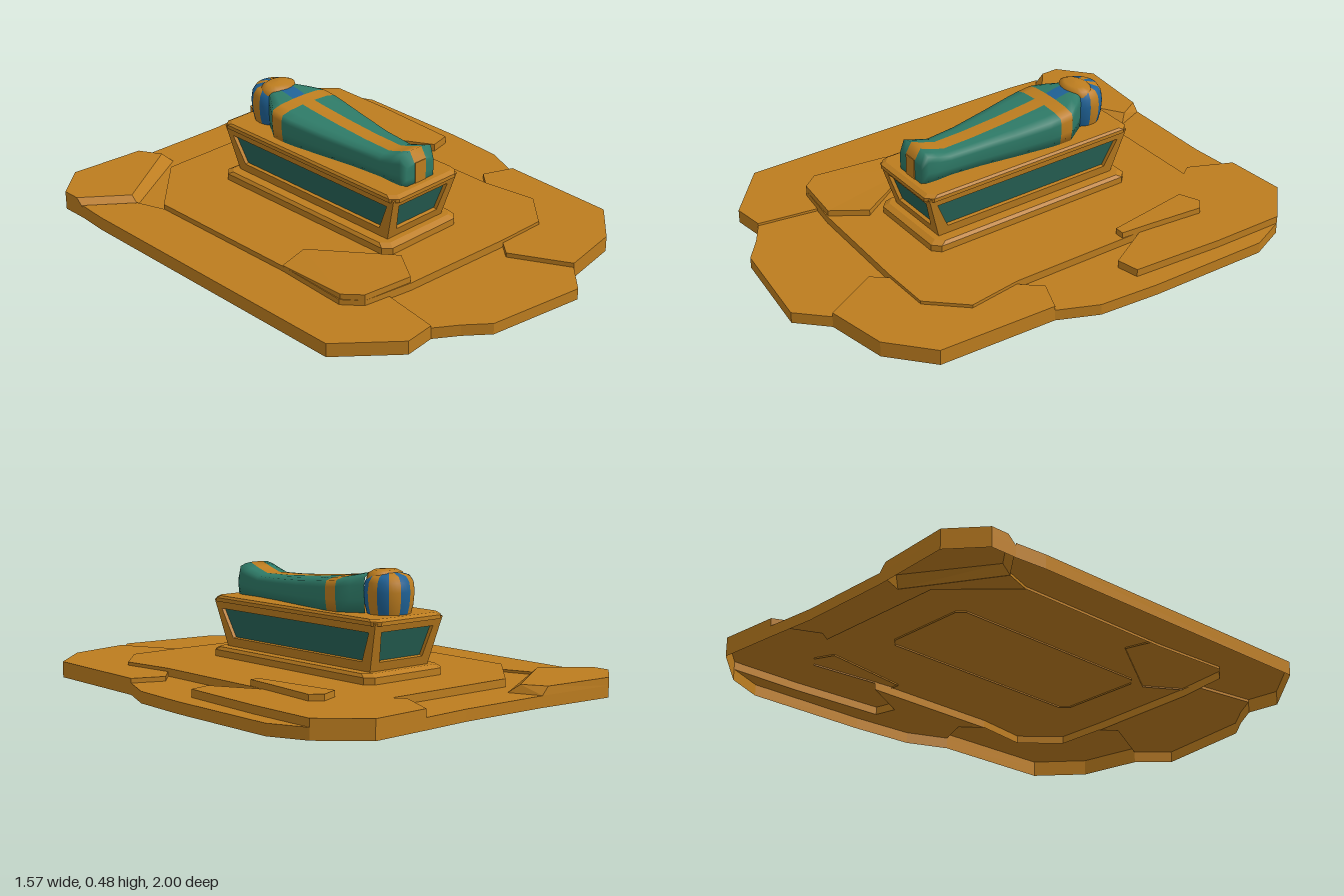
import * as THREE from 'three';

function flat(name, color, side = THREE.FrontSide) {
  const material = new THREE.MeshStandardMaterial({ color, side });
  material.name = name;
  return material;
}
const sand = flat('sandGold', 0xbd7d1f, THREE.DoubleSide);
const teal = flat('teal', 0x2e7a67);
const darkTeal = flat('darkTeal', 0x276356);
const blue = flat('blue', 0x1f6296);

const CX = -0.03, CZ = -0.08; // centre of the tomb

function add(parent, name, geometry, material) {
  const mesh = new THREE.Mesh(geometry, material);
  mesh.name = name;
  parent.add(mesh);
  return mesh;
}

// Stone shell without a bottom, from an outline of [x, z] corners.
// top is a height, or a rule giving the [x, y, z] of each upper corner.
function shell(points, y0, top, closed = true) {
  const shape = new THREE.Shape(points.map(([x, z]) => new THREE.Vector2(x, -z)));
  const source = new THREE.ExtrudeGeometry(shape, { depth: 1, bevelEnabled: false });
  source.rotateX(-Math.PI / 2);
  const rule = typeof top === 'number' ? (x, z) => [x, top, z] : top;
  const p = source.attributes.position, position = [];
  for (let i = 0; i < p.count; i += 3) {
    const ups = [0, 1, 2].map((k) => p.getY(i + k) > 0.5);
    if (!ups.includes(true) || (!closed && !ups.includes(false))) continue;
    ups.forEach((up, k) => {
      const x = p.getX(i + k), z = p.getZ(i + k);
      position.push(...(up ? rule(x, z) : [x, y0, z]));
    });
  }
  const g = new THREE.BufferGeometry();
  g.setAttribute('position', new THREE.Float32BufferAttribute(position, 3));
  g.computeVertexNormals();
  return g;
}

// Rectangle with cut corners, centred on the tomb
function cutRect(w, d, c) {
  return [[w - c, -d], [w, c - d], [w, d - c], [w - c, d], [c - w, d], [-w, d - c], [-w, c - d], [c - w, -d]]
    .map(([x, z]) => [x + CX, z + CZ]);
}

// Rule that draws the upper corners in towards the tomb's centre
function shrink(k, y) {
  return (x, z) => [CX + (x - CX) * k, y, CZ + (z - CZ) * k];
}

// Four-sided box with a different size at the bottom and top
function frustum(w0, d0, w1, d1, y0, y1) {
  const g = new THREE.BoxGeometry(2, 1, 2);
  const p = g.attributes.position;
  for (let i = 0; i < p.count; i++) {
    const up = p.getY(i) > 0;
    p.setXYZ(i, CX + p.getX(i) * (up ? w1 : w0), up ? y1 : y0, CZ + p.getZ(i) * (up ? d1 : d0));
  }
  g.computeVertexNormals();
  return g;
}

// Broken stone ground: an outer wall topped by adjoining plates, open below
function buildGround() {
  const ground = new THREE.Group();
  ground.name = 'ground';
  const low = 0.045, under = 0.044;
  add(ground, 'outerWall', shell([[-0.63, -1], [-0.29, -0.975], [0.1, -0.97], [0.31, -0.985], [0.56, -1],
    [0.72, -0.85], [0.785, -0.7], [0.775, -0.2], [0.755, 0.05], [0.685, 0.21], [0.665, 0.7], [0.5, 0.845],
    [0.25, 0.89], [0.14, 1], [-0.26, 0.945], [-0.35, 0.87], [-0.44, 0.81], [-0.57, 0.825], [-0.785, 0.635],
    [-0.77, -0.65], [-0.76, -0.78], [-0.76, -0.89]], 0, low, false), sand);
  add(ground, 'backPlate', shell([[-0.29, -0.975], [0.1, -0.97], [0.31, -0.985], [0.23, -0.81],
    [0.26, -0.765], [-0.32, -0.765], [-0.55, -0.53], [-0.59, -0.645], [-0.24, -0.85]], under, low), sand);
  add(ground, 'frontPlate', shell([[0.14, 1], [-0.26, 0.945], [-0.35, 0.87], [-0.44, 0.81], [-0.4, 0.565],
    [-0.3, 0.58], [0.18, 0.6], [0.13, 0.66], [0.25, 0.89]], under, low), sand);
  add(ground, 'leftPlate', shell([[0.72, -0.85], [0.785, -0.7], [0.775, -0.2], [0.755, 0.05], [0.685, 0.21],
    [0.56, 0.16], [0.49, 0.24], [0.495, -0.34], [0.6, -0.15], [0.69, -0.17], [0.715, -0.55]], under, low), sand);
  add(ground, 'raisedFloor', shell([[-0.55, -0.53], [-0.32, -0.765], [0.26, -0.765], [0.23, -0.81],
    [0.31, -0.985], [0.56, -1], [0.72, -0.85], [0.715, -0.55], [0.69, -0.17], [0.6, -0.15], [0.495, -0.34],
    [0.49, 0.24], [0.52, 0.46], [0.39, 0.6], [0.18, 0.6], [-0.3, 0.58], [-0.51, 0.55], [-0.57, 0.48],
    [-0.55, 0.16]], low, 0.076), sand);
  add(ground, 'frontCornerPlate', shell([[0.25, 0.89], [0.13, 0.66], [0.18, 0.6], [0.39, 0.6], [0.52, 0.46],
    [0.49, 0.24], [0.56, 0.16], [0.685, 0.21], [0.665, 0.7], [0.5, 0.845]], low, 0.063), sand);
  add(ground, 'rightPlate', shell([[-0.44, 0.81], [-0.4, 0.565], [-0.51, 0.55], [-0.57, 0.48], [-0.55, 0.16],
    [-0.55, -0.53], [-0.59, -0.645], [-0.76, -0.78], [-0.77, -0.65], [-0.785, 0.635], [-0.57, 0.825]],
  low, 0.055), sand);
  // Rock with sloping inner sides
  add(ground, 'cornerRock', shell([[-0.76, -0.78], [-0.59, -0.645], [-0.24, -0.85], [-0.29, -0.975],
    [-0.63, -1], [-0.76, -0.89]], low,
  (x, z) => [x > -0.3 ? x - 0.03 : x, 0.077, z > -0.88 ? z - 0.035 : z]), sand);
  add(ground, 'looseSlab', shell([[0.4, -0.62], [0.48, -0.655], [0.525, -0.62], [0.5, -0.38],
    [0.49, -0.26], [0.45, -0.26]], 0.07, 0.1), sand);
  // Slab rising towards the front
  add(ground, 'tiltedSlab', shell([[-0.55, 0.16], [-0.41, 0.125], [-0.21, 0.44], [-0.3, 0.575],
    [-0.51, 0.55], [-0.565, 0.48]], 0.07,
  (x, z) => [x, 0.077 + Math.min(0.023, 0.021 * (x + 0.55) + 0.055 * (z - 0.12)), z]), sand);
  return ground;
}

// Tapered tomb with framed, recessed panels
function buildTomb() {
  const tomb = new THREE.Group();
  tomb.name = 'tomb';
  const foot = cutRect(0.198, 0.465, 0.03), lid = cutRect(0.178, 0.48, 0.028);
  add(tomb, 'plinth', shell(foot, 0.07, 0.102), sand);
  add(tomb, 'plinthBevel', shell(foot, 0.102, shrink(0.95, 0.114)), sand);
  const y0 = 0.11, y1 = 0.3, w0 = 0.147, w1 = 0.172, d0 = 0.415, d1 = 0.47, inset = 0.015;
  add(tomb, 'panels', frustum(w0 - inset, d0 - inset, w1 - inset, d1 - inset, y0, y1), darkTeal);

  function frame(half0, half1, out0, out1, angle) {
    const h = Math.hypot(y1 - y0, out1 - out0);
    const shape = new THREE.Shape();
    shape.moveTo(-half0, 0).lineTo(half0, 0).lineTo(half1, h).lineTo(-half1, h).closePath();
    const hole = new THREE.Path();
    const a = half0 - 0.038, b = half1 - 0.04;
    hole.moveTo(-a, 0.04).lineTo(-b, h - 0.036).lineTo(b, h - 0.036).lineTo(a, 0.04).closePath();
    shape.holes.push(hole);
    const g = new THREE.ExtrudeGeometry(shape, { depth: 0.02, bevelEnabled: false });
    g.translate(0, 0, -0.02).rotateX(Math.atan2(out1 - out0, y1 - y0));
    g.translate(0, y0, out0).rotateY(angle).translate(CX, 0, CZ);
    add(tomb, 'panelFrame', g, sand);
  }
  for (const turn of [0, Math.PI]) {
    frame(w0, w1, d0, d1, turn);
    frame(d0, d1, w0, w1, turn + Math.PI / 2);
  }
  add(tomb, 'lid', shell(lid, 0.292, 0.307), sand);
  add(tomb, 'lidBevel', shell(lid, 0.307, shrink(0.96, 0.316)), sand);
  return tomb;
}

// Wrapped body: cross-sections lofted from the feet to the neck
function buildBody() {
  const base = 0.312;
  const rows = [ // z, half width, top height
    [0.36, 0.074, 0.4], [0.335, 0.087, 0.442], [0.29, 0.088, 0.425], [0.23, 0.085, 0.407], [0.1, 0.097, 0.411],
    [-0.05, 0.121, 0.422], [-0.2, 0.143, 0.437], [-0.245, 0.146, 0.443], [-0.3, 0.145, 0.45],
    [-0.345, 0.112, 0.46], [-0.39, 0.08, 0.465]];
  const bandRow = 7;
  const position = [], cells = [[], [], []];
  for (const [z, w, top] of rows) {
    const half = [[0.94, 0], [0.99, 0.35], [1, 0.72], [0.95, 0.9], [0.68, 0.97], [0.031 / w, 1]];
    const ring = [...half, ...half.map(([x, y]) => [-x, y]).reverse()];
    for (const [x, y] of ring) position.push(CX + x * w, base + y * (top - base), z);
  }
  const n = 12;
  for (let j = 0; j < rows.length - 1; j++) {
    for (let i = 0; i < n; i++) {
      const a = j * n + i, b = j * n + (i + 1) % n, c = b + n, d = a + n;
      const middle = i === 5;
      const colour = j === bandRow || (middle && j < bandRow) ? 1 : middle ? 2 : 0;
      cells[colour].push(a, d, c, a, c, b);
    }
  }
  // Sole of the feet
  for (let i = 0; i < 5; i++) {
    const a = i, b = i + 1, c = n - 2 - i, d = n - 1 - i;
    cells[0].push(a, b, c, a, c, d);
  }
  const g = new THREE.BufferGeometry();
  g.setAttribute('position', new THREE.Float32BufferAttribute(position, 3));
  g.setIndex(cells.flat());
  let start = 0;
  cells.forEach((list, k) => {
    g.addGroup(start, list.length, k);
    start += list.length;
  });
  g.computeVertexNormals();
  return g;
}

function buildMummy() {
  const mummy = new THREE.Group();
  mummy.name = 'mummy';
  add(mummy, 'wrappedBody', buildBody(), [teal, sand, blue]);
  add(mummy, 'footStripe', new THREE.BoxGeometry(0.056, 0.088, 0.008), sand).position.set(CX, 0.356, 0.359);
  const turned = (pairs) => pairs.map(([x, y]) => new THREE.Vector2(x, y));

  // Striped headdress, alternating around the back of the head
  const hood = turned([[0.084, 0.312], [0.094, 0.35], [0.098, 0.4], [0.093, 0.435], [0.078, 0.457], [0.04, 0.468], [0, 0.47]]);
  const count = 9, from = Math.PI * 0.3, step = Math.PI * 1.4 / count;
  for (let i = 0; i < count; i++) {
    const g = new THREE.LatheGeometry(hood, 3, from + i * step, step);
    g.scale(1, 1, 0.94).translate(CX, 0, -0.44);
    add(mummy, 'headdressStripe', g, i % 2 ? sand : blue);
  }
  // Broad, flattened face
  const face = new THREE.LatheGeometry(turned([[0.08, 0.33], [0.082, 0.44], [0.074, 0.466], [0.05, 0.477], [0, 0.48]]), 20);
  add(mummy, 'face', face.scale(1, 1, 0.72).translate(CX, 0, -0.42), sand);
  return mummy;
}

export function createModel() {
  const model = new THREE.Group();
  model.name = 'mummyTomb';
  model.add(buildGround(), buildTomb(), buildMummy());
  return model;
}
